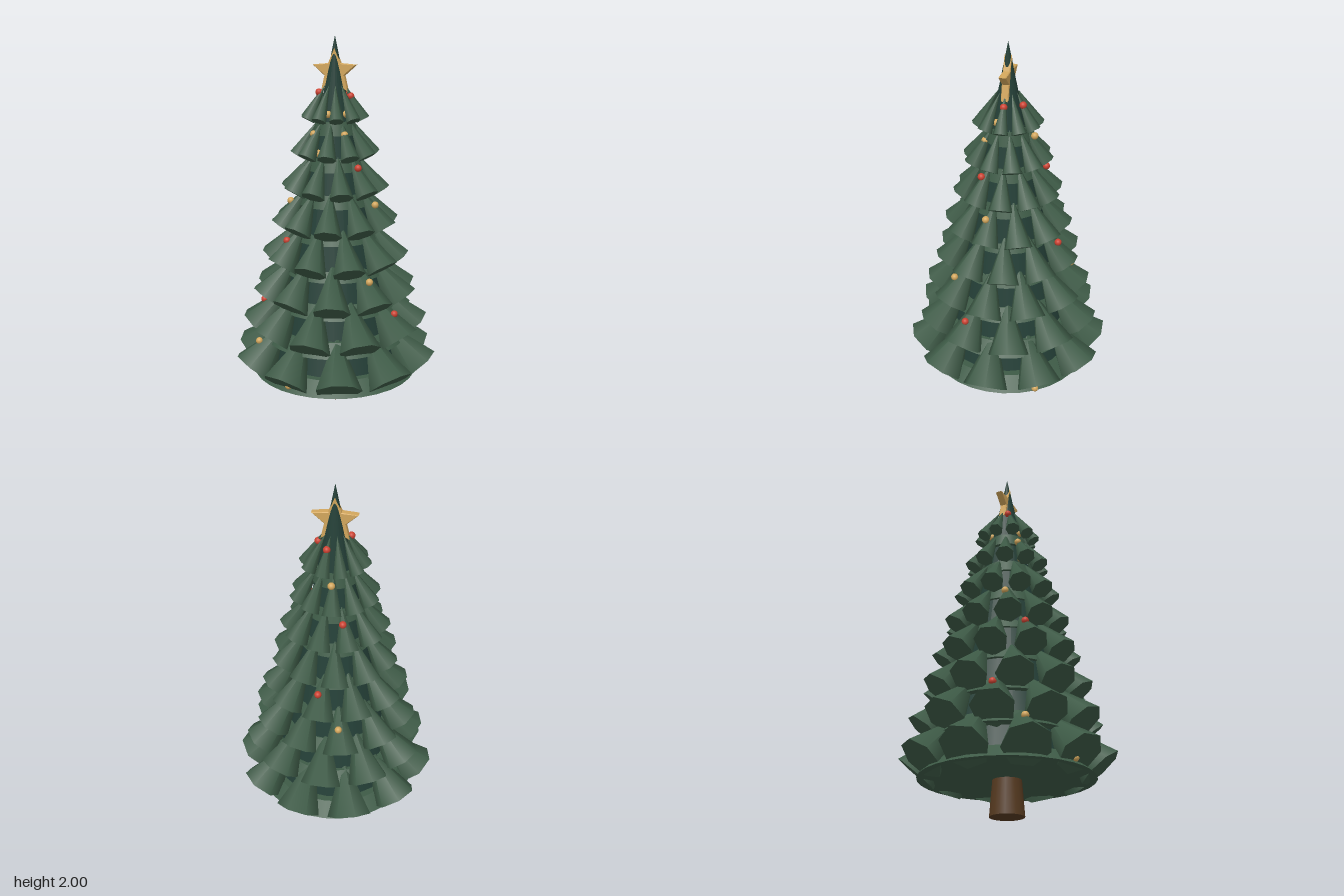
import * as THREE from 'three';

const mat = (name, color) => {
  const m = new THREE.MeshStandardMaterial({ color });
  m.name = name;
  return m;
};

export function createModel() {
  const green = mat('branch green', 0x3d5a46);
  const dark = mat('inner green', 0x243f37);
  const brown = mat('bark brown', 0x563a20);
  const gold = mat('gold', 0xd2a65c);
  const red = mat('red', 0xcc4232);

  const tree = new THREE.Group();
  tree.name = 'tree';
  const add = (parent, name, geometry, material, x = 0, y = 0, z = 0) => {
    const mesh = new THREE.Mesh(geometry, material);
    mesh.name = name;
    mesh.position.set(x, y, z);
    parent.add(mesh);
    return mesh;
  };

  // Trunk and the slim inner cone that ends in the spike
  add(tree, 'trunk', new THREE.CylinderGeometry(0.07, 0.09, 0.25, 20), brown, 0, 0.125, 0);
  add(tree, 'core', new THREE.ConeGeometry(0.36, 1.8, 24), dark, 0, 1.1, 0);

  // Eight tiers of ten leaning branch cones, each tier turned a little further
  const TIERS = 8, COUNT = 10, TURN = 0.358;
  const up = new THREE.Vector3(0, 1, 0);
  for (let i = 0; i < TIERS; i++) {
    const t = i / (TIERS - 1);
    const tier = new THREE.Group();
    tier.name = `tier${i + 1}`;
    tree.add(tier);

    const r = THREE.MathUtils.lerp(0.124, 0.039, t);
    const h = THREE.MathUtils.lerp(0.32, 0.205, t);
    const c = THREE.MathUtils.lerp(0.64, 0.48, t); // inward lean
    const s = Math.sqrt(1 - c * c);
    const ring = 0.56 - 0.0537 * i - 0.97 * r * s;
    const y = 0.307 + 0.183 * i - 0.97 * r * c;

    // Low skirt closing the underside of the tier
    const skirtR = ring * THREE.MathUtils.lerp(0.97, 0.8, Math.min(1, t * 2));
    add(tier, 'skirt', new THREE.CylinderGeometry(skirtR * 0.85, skirtR, 0.07, 32), green,
      0, 0.218 + 0.187 * i, 0);

    const cone = new THREE.ConeGeometry(r, h, 7);
    cone.translate(0, h / 2, 0); // pivot at the base
    for (let k = 0; k < COUNT; k++) {
      const a = (k / COUNT) * Math.PI * 2 + i * TURN;
      const cx = Math.cos(a), cz = Math.sin(a);
      const branch = add(tier, 'branch', cone, green, cx * ring, y, cz * ring);
      branch.quaternion.setFromUnitVectors(up, new THREE.Vector3(-cx * c, s, -cz * c));
    }
  }

  // Five-pointed star with bevelled edges around the spike
  const star = new THREE.Shape();
  for (let k = 0; k < 10; k++) {
    const a = Math.PI / 2 + (k * Math.PI) / 5;
    const r = k % 2 ? 0.051 : 0.116;
    star[k ? 'lineTo' : 'moveTo'](Math.cos(a) * r, Math.sin(a) * r);
  }
  star.closePath();
  const starGeo = new THREE.ExtrudeGeometry(star, {
    depth: 0.03, bevelEnabled: true, bevelThickness: 0.004, bevelSize: 0.004, bevelSegments: 1,
  });
  add(tree, 'star', starGeo.translate(0, 0, -0.015), gold, 0, 1.812, 0);

  // Baubles nestled between the branches
  const ball = new THREE.SphereGeometry(0.019, 16, 12);
  const reds = [
    [-0.075, 1.71, 0.04], [0.085, 1.69, 0], [0.03, 1.69, -0.085], [0.153, 1.33, 0.1],
    [-0.065, 1.33, -0.19], [-0.208, 0.942, 0.198], [0.05, 0.945, -0.29],
    [0.365, 0.565, 0.138], [-0.38, 0.565, 0.099],
  ];
  const golds = [
    [-0.015, 1.6, 0.08], [0.07, 1.6, 0.04], [-0.04, 1.6, -0.075], [0, 1.52, -0.14],
    [-0.085, 1.5, 0.105], [0.08, 1.5, 0.1], [-0.06, 1.4, 0.11], [-0.22, 1.135, 0.09],
    [0.235, 1.13, 0.055], [0.25, 0.76, 0.23], [-0.065, 0.76, -0.342],
    [-0.355, 0.38, 0.257], [-0.135, 0.215, 0.415], [0.39, 0.215, -0.258],
  ];
  reds.forEach((p) => add(tree, 'redBauble', ball, red, ...p));
  golds.forEach((p) => add(tree, 'goldBauble', ball, gold, ...p));

  return tree;
}
